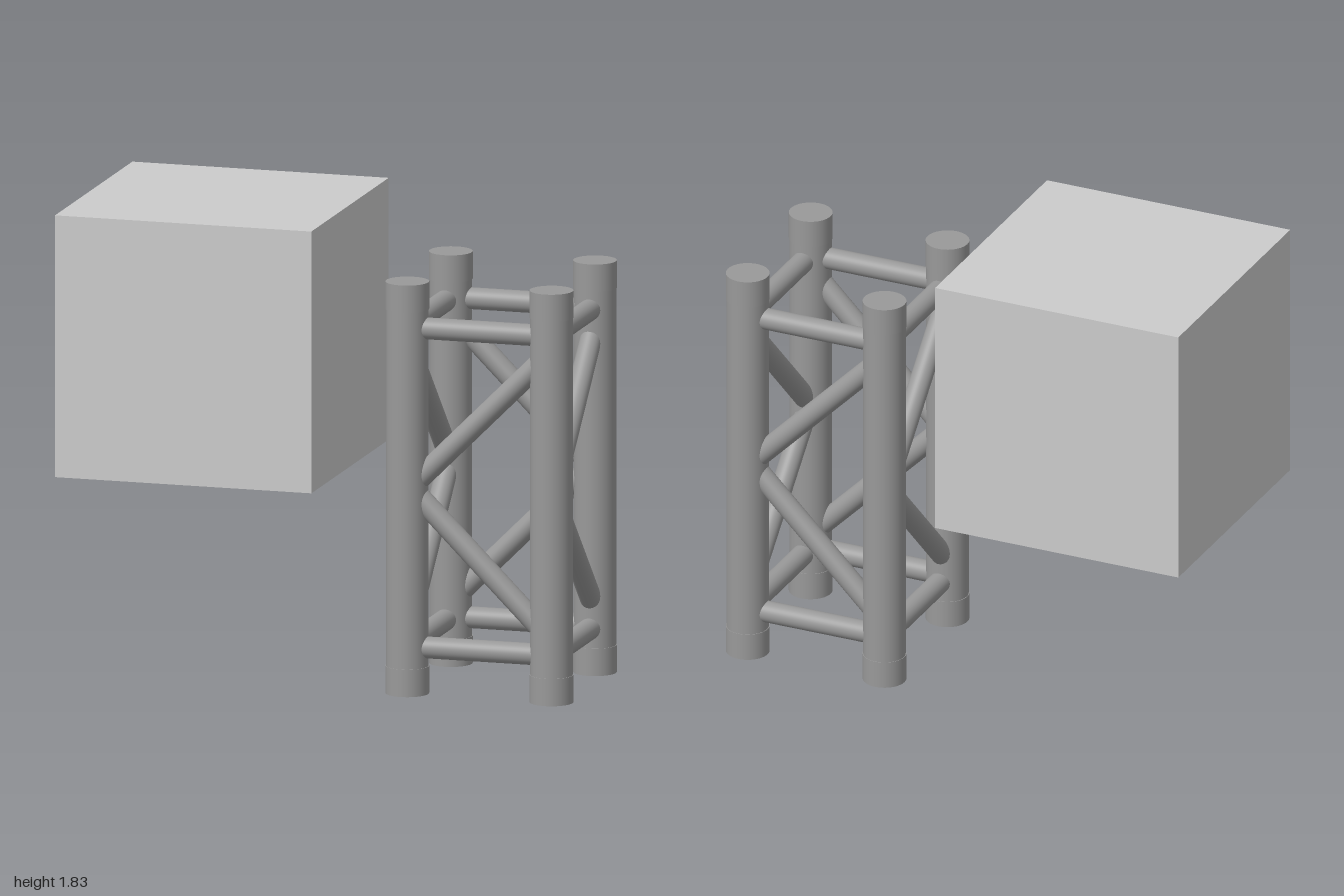
import * as THREE from 'three';

const HALF = 0.288;      // half spacing of the columns
const HEIGHT = 1.61;
const CAP = 0.107;       // sleeve height at each column end

export function createModel() {
  const model = new THREE.Group();
  model.name = 'trussAndCube';

  const steel = new THREE.MeshStandardMaterial({ color: 0x999999 });
  steel.name = 'steelGrey';
  const pale = new THREE.MeshStandardMaterial({ color: 0xcccccc });
  pale.name = 'paleGrey';

  // Cylinder running between two points
  function rod(name, a, b, radius, parent) {
    const from = new THREE.Vector3(...a);
    const dir = new THREE.Vector3(...b).sub(from);
    const mesh = new THREE.Mesh(new THREE.CylinderGeometry(radius, radius, dir.length(), 40), steel);
    mesh.name = name;
    mesh.position.copy(from).addScaledVector(dir, 0.5);
    mesh.quaternion.setFromUnitVectors(new THREE.Vector3(0, 1, 0), dir.normalize());
    parent.add(mesh);
  }

  // Floating cube
  const cube = new THREE.Mesh(new THREE.BoxGeometry(1.024, 1.024, 1.024), pale);
  cube.name = 'cube';
  cube.position.set(-0.488, 1.318, 0);
  model.add(cube);

  // Square truss: four identical sides turned about the centre
  const truss = new THREE.Group();
  truss.name = 'truss';
  truss.position.x = 0.628;
  model.add(truss);

  for (let i = 0; i < 4; i++) {
    const side = new THREE.Group();
    side.name = 'trussSide' + (i + 1);
    side.rotation.y = i * Math.PI / 2;
    truss.add(side);

    // Column with slightly wider end sleeves
    rod('column', [HALF, CAP, HALF], [HALF, HEIGHT - CAP, HALF], 0.0815, side);
    rod('bottomSleeve', [HALF, 0, HALF], [HALF, CAP, HALF], 0.084, side);
    rod('topSleeve', [HALF, HEIGHT - CAP, HALF], [HALF, HEIGHT, HALF], 0.084, side);

    // Horizontal bars
    for (const y of [0.182, 1.43]) {
      rod('crossbar', [-0.25, y, HALF], [0.25, y, HALF], 0.042, side);
    }

    // Zigzag braces
    const d = 0.24;
    rod('lowerBrace', [-d, 0.53 + d, HALF], [d, 0.53 - d, HALF], 0.042, side);
    rod('upperBrace', [-d, 1.08 - d, HALF], [d, 1.08 + d, HALF], 0.042, side);
  }

  return model;
}
